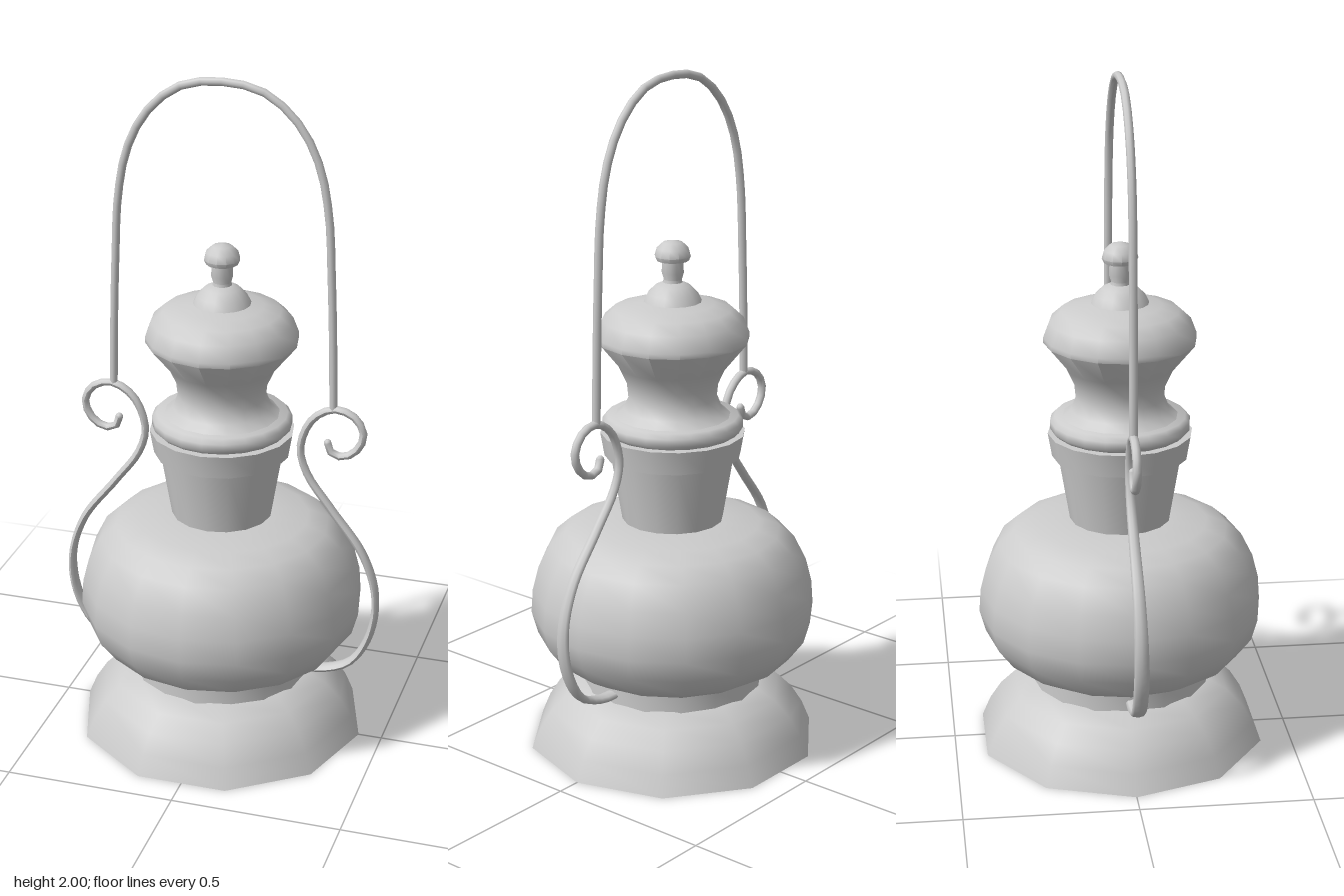
import * as THREE from 'three';
import { toCreasedNormals } from 'three/addons/utils/BufferGeometryUtils.js';

const material = new THREE.MeshStandardMaterial({ color: 0xcccccc, side: THREE.DoubleSide });

export function createModel() {
  const group = new THREE.Group();

  function add(name, geometry) {
    const mesh = new THREE.Mesh(geometry, material);
    mesh.name = name;
    group.add(mesh);
    return mesh;
  }

  // Turned part from a bottom-to-top profile of [radius, y]
  function turned(name, profile, sides = 16, crease = 0.75) {
    const points = profile.map(([r, y]) => new THREE.Vector2(r, y));
    const geometry = new THREE.LatheGeometry(points, sides);
    geometry.rotateY(Math.PI / 2);
    return add(name, toCreasedNormals(geometry, crease));
  }

  turned('base', [[0, 0], [0.43, 0], [0.405, 0.06], [0.37, 0.115], [0.325, 0.16], [0.27, 0.19], [0, 0.19]], 10);
  turned('baseCollar', [[0, 0.17], [0.265, 0.17], [0.265, 0.245], [0, 0.245]]);
  turned('bowl', [[0, 0.235], [0.23, 0.235], [0.295, 0.25], [0.355, 0.285], [0.4, 0.345], [0.418, 0.41],
    [0.413, 0.48], [0.395, 0.55], [0.36, 0.62], [0.315, 0.66], [0.255, 0.683], [0.14, 0.695], [0, 0.695]]);
  turned('neck', [[0, 0.68], [0.145, 0.68], [0.18, 0.89], [0, 0.89]]);
  turned('neckBand', [[0, 0.89], [0.198, 0.89], [0.21, 0.96], [0, 0.96]]);
  turned('rim', [[0, 0.96], [0.19, 0.962], [0.203, 0.975], [0.203, 0.997], [0.19, 1.01], [0, 1.012]], 20, 1.2);
  turned('chimney', [[0, 1], [0.17, 1.008], [0.142, 1.03], [0.128, 1.065], [0.132, 1.105], [0.155, 1.155],
    [0.22, 1.235], [0.22, 1.25], [0.203, 1.295], [0.17, 1.325], [0.12, 1.34], [0.083, 1.347],
    [0.072, 1.37], [0.05, 1.392], [0.028, 1.402], [0, 1.402]]);
  turned('knob', [[0, 1.39], [0.032, 1.39], [0.026, 1.41], [0.032, 1.43], [0.03, 1.465], [0.046, 1.465],
    [0.052, 1.478], [0.046, 1.5], [0.028, 1.517], [0, 1.523]], 12);

  // Carrying handle: a tall arch
  const half = [[0.33, 1.055], [0.325, 1.25], [0.317, 1.45], [0.305, 1.64], [0.275, 1.78], [0.215, 1.89], [0.12, 1.967]];
  const arch = [...half.map(([x, y]) => new THREE.Vector3(-x, y, 0)), new THREE.Vector3(0, 1.988, 0),
    ...half.slice().reverse().map(([x, y]) => new THREE.Vector3(x, y, 0))];
  add('handle', new THREE.TubeGeometry(new THREE.CatmullRomCurve3(arch), 36, 0.012, 8));

  // Side scrolls: flattened strap, widest in z near the bottom
  const scroll = [[0.315, 0.953], [0.325, 0.925], [0.36, 0.915], [0.4, 0.94], [0.42, 0.99], [0.395, 1.04],
    [0.335, 1.06], [0.27, 1.022], [0.235, 0.93], [0.255, 0.85], [0.33, 0.745], [0.43, 0.61],
    [0.47, 0.48], [0.455, 0.35], [0.4, 0.255], [0.32, 0.22], [0.24, 0.215]];
  const widen = y => 1.1 + 0.8 * THREE.MathUtils.clamp((0.9 - y) / 0.5, 0, 1);
  for (const side of [-1, 1]) {
    const curve = new THREE.CatmullRomCurve3(scroll.map(([x, y]) => new THREE.Vector3(side * x, y, 0)));
    const geometry = new THREE.TubeGeometry(curve, 48, 0.0115, 8);
    const p = geometry.attributes.position;
    for (let i = 0; i < p.count; i++) {
      const w = widen(p.getY(i));
      p.setZ(i, p.getZ(i) * w + 0.009 * (w - 1.1) / 0.8);
    }
    geometry.computeVertexNormals();
    const name = side > 0 ? 'left' : 'right';
    add(name + 'Scroll', geometry);
    add(name + 'ScrollTip', new THREE.SphereGeometry(0.0115, 8, 6)).position.set(side * 0.315, 0.953, 0);
  }
  return group;
}
